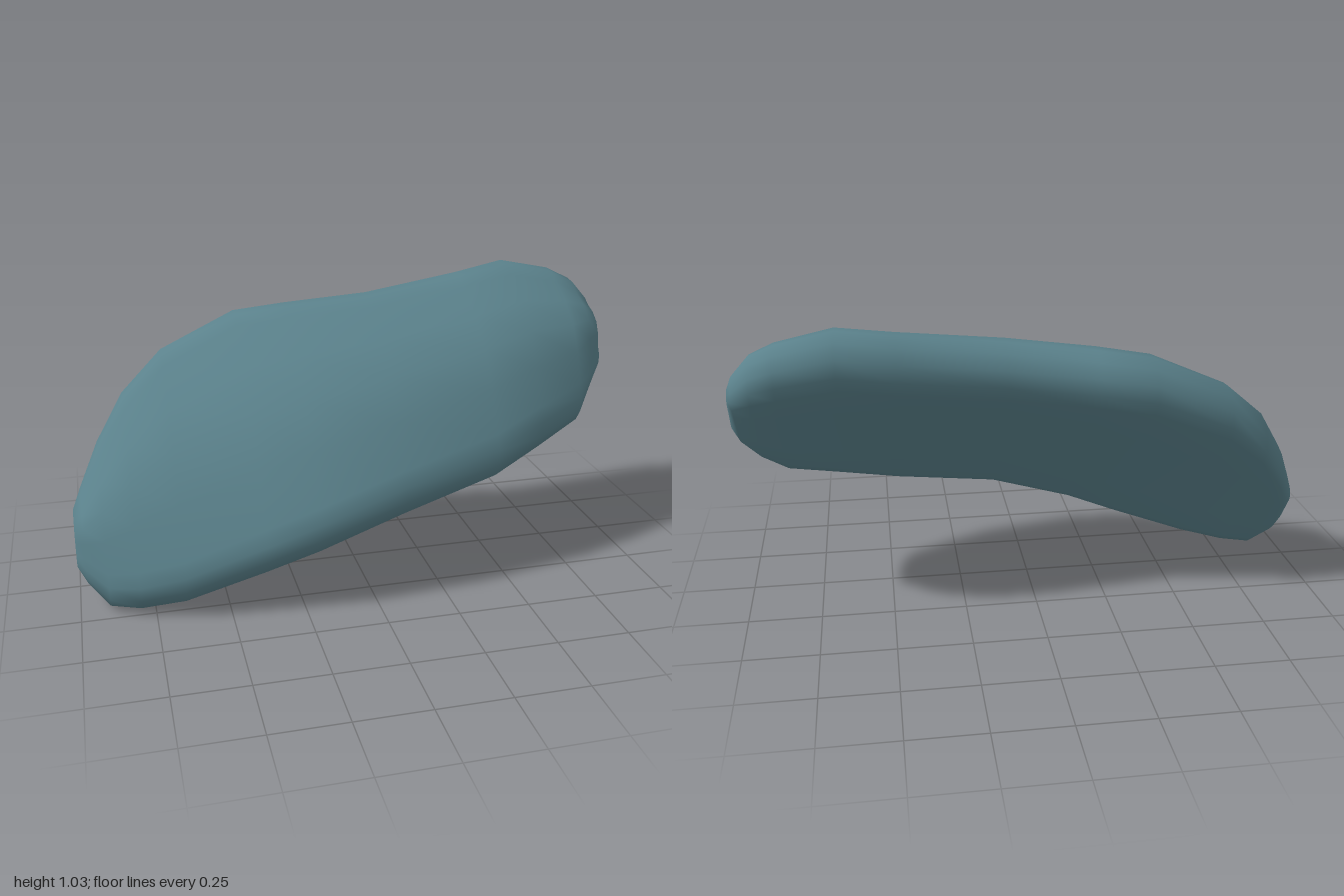
import * as THREE from 'three';

// Cross-sections along x: [x, lowest y, highest y, rearmost z, foremost z, half thickness]
const STATIONS = [
  [-1.0, 0.12, 0.30, -0.04, 0.11, 0.04],
  [-0.97, 0.07, 0.37, -0.09, 0.16, 0.07],
  [-0.90, 0.00, 0.50, -0.20, 0.23, 0.09],
  [-0.80, 0.00, 0.65, -0.28, 0.28, 0.10],
  [-0.65, 0.03, 0.78, -0.35, 0.325, 0.105],
  [-0.38, 0.12, 0.90, -0.38, 0.36, 0.11],
  [-0.20, 0.185, 0.925, -0.35, 0.38, 0.11],
  [0.10, 0.28, 0.955, -0.31, 0.355, 0.11],
  [0.46, 0.35, 1.00, -0.355, 0.27, 0.11],
  [0.65, 0.41, 1.03, -0.385, 0.19, 0.11],
  [0.84, 0.47, 0.99, -0.38, 0.095, 0.10],
  [0.92, 0.55, 0.95, -0.35, 0.00, 0.09],
  [0.98, 0.62, 0.88, -0.31, -0.07, 0.06],
  [1.0, 0.68, 0.83, -0.25, -0.14, 0.03],
];
const CAP = 6;   // segments round each rim
const FACE = 4;  // segments across the front and back faces

// Tilted capsule section: front face, top rim, back face, bottom rim
function section([x, y0, y1, z0, z1, h]) {
  const bottom = new THREE.Vector3(x, y0 + h, z1 - h);
  const top = new THREE.Vector3(x, y1 - h, z0 + h);
  const up = top.clone().sub(bottom).normalize();
  const out = new THREE.Vector3(0, -up.z, up.y);
  const ring = [];
  const rim = (center, start) => {
    for (let i = 0; i <= CAP; i++) {
      const a = start + (Math.PI * i) / CAP;
      ring.push(center.clone().addScaledVector(out, h * Math.cos(a)).addScaledVector(up, h * Math.sin(a)));
    }
  };
  const face = (from, to, offset, bulge) => {
    for (let i = 1; i < FACE; i++) {
      const u = i / FACE;
      ring.push(from.clone().lerp(to, u).addScaledVector(out, offset + bulge * Math.sin(Math.PI * u)));
    }
  };
  rim(top, 0);
  face(top, bottom, -h, 0);
  rim(bottom, Math.PI);
  face(bottom, top, h, 0.6 * h);
  return ring;
}

// Skin the sections and close both ends
function loft(rings) {
  const n = rings[0].length;
  const points = rings.flat();
  const index = [];
  for (let i = 0; i < rings.length - 1; i++) {
    for (let j = 0; j < n; j++) {
      const a = i * n + j, b = i * n + ((j + 1) % n);
      index.push(a, a + n, b, b, a + n, b + n);
    }
  }
  const close = (ring, first, flip) => {
    const center = ring.reduce((s, p) => s.add(p), new THREE.Vector3()).divideScalar(n);
    const c = points.push(center) - 1;
    for (let j = 0; j < n; j++) {
      const a = first + j, b = first + ((j + 1) % n);
      index.push(c, flip ? b : a, flip ? a : b);
    }
  };
  close(rings[0], 0, false);
  close(rings[rings.length - 1], (rings.length - 1) * n, true);
  const geometry = new THREE.BufferGeometry().setFromPoints(points);
  geometry.setIndex(index);
  geometry.computeVertexNormals();
  return geometry;
}

export function createModel() {
  const group = new THREE.Group();
  group.name = 'curvedPad';
  const material = new THREE.MeshStandardMaterial({ color: 0x5b828c });
  const pad = new THREE.Mesh(loft(STATIONS.map(section)), material);
  pad.name = 'pad';
  group.add(pad);
  return group;
}
